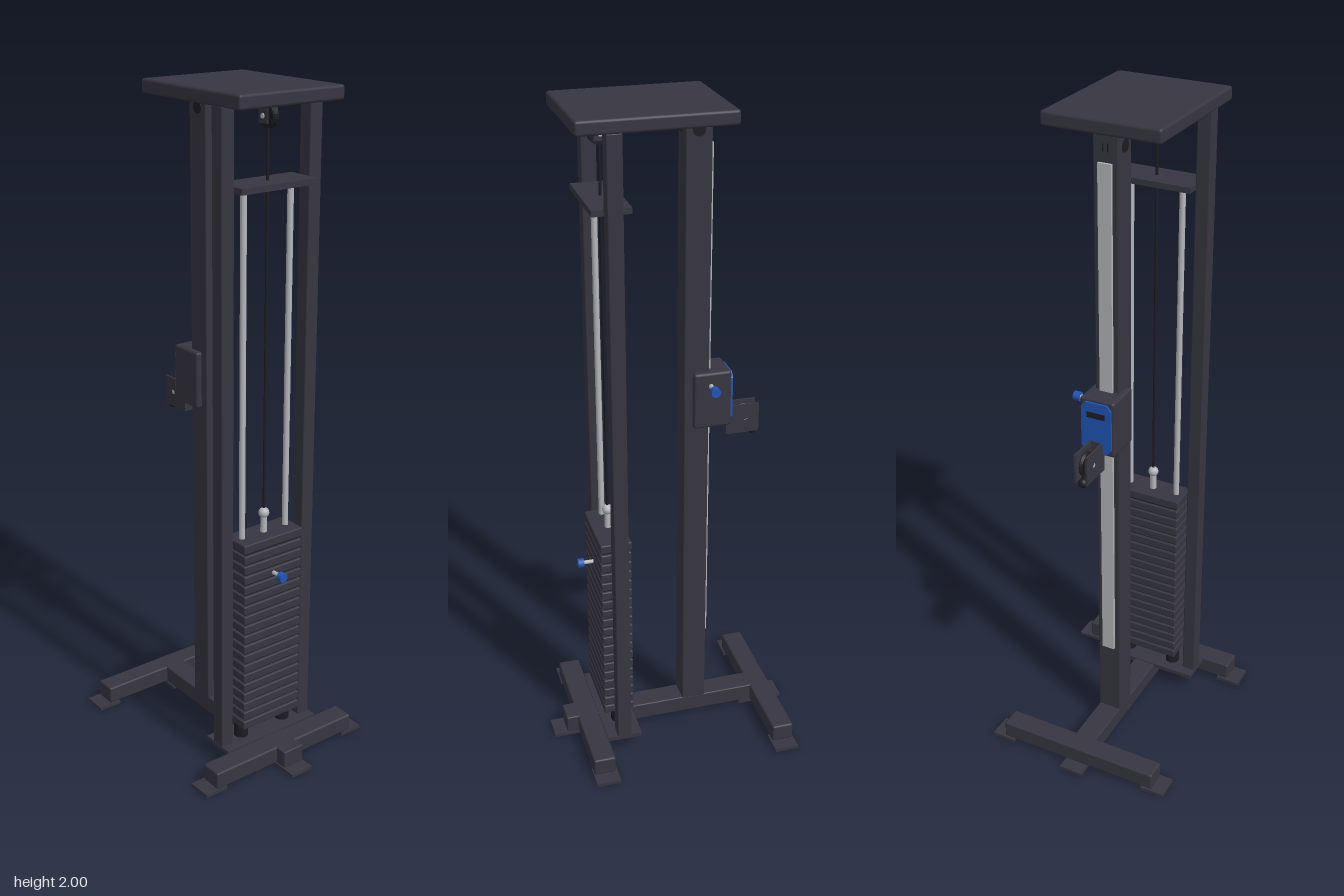
import * as THREE from 'three';
import { RoundedBoxGeometry } from 'three/addons/geometries/RoundedBoxGeometry.js';

const mat = (name, color) => {
  const m = new THREE.MeshStandardMaterial({ color });
  m.name = name;
  return m;
};

export function createModel() {
  const frame = mat('charcoal frame', 0x373641);
  const black = mat('black rubber', 0x1d1d22);
  const chrome = mat('chrome', 0xb4b6ba);
  const blue = mat('blue accent', 0x1f55b5);
  const model = new THREE.Group();
  model.name = 'cableMachine';

  const add = (name, geometry, material, x = 0, y = 0, z = 0) => {
    const mesh = new THREE.Mesh(geometry, material);
    mesh.name = name;
    mesh.position.set(x, y, z);
    model.add(mesh);
    return mesh;
  };
  // Box given by its limits on each axis, with an optional edge radius
  const block = (name, material, [x0, x1], [y0, y1], [z0, z1], r = 0) => {
    const s = [x1 - x0, y1 - y0, z1 - z0];
    const g = r ? new RoundedBoxGeometry(...s, 2, r) : new THREE.BoxGeometry(...s);
    return add(name, g, material, (x0 + x1) / 2, (y0 + y1) / 2, (z0 + z1) / 2);
  };
  // Cylinder along a chosen axis
  const rod = (name, material, r, length, axis, x, y, z) => {
    const g = new THREE.CylinderGeometry(r, r, length, 20);
    if (axis === 'x') g.rotateZ(Math.PI / 2);
    if (axis === 'z') g.rotateX(Math.PI / 2);
    return add(name, g, material, x, y, z);
  };
  // Grooved wheel on an axle along x
  const pulley = (name, r, y, z) => {
    const w = 0.009;
    const profile = [[0.004, -w], [r, -w], [r, -w * 0.7], [r * 0.84, 0], [r, w * 0.7], [r, w], [0.004, w]]
      .map(([a, b]) => new THREE.Vector2(a, b));
    const g = new THREE.LatheGeometry(profile, 28).toNonIndexed();
    g.computeVertexNormals();
    g.rotateZ(Math.PI / 2);
    add(name, g, black, 0, y, z);
    rod(name + 'Axle', chrome, 0.007, 0.042, 'x', 0, y, z);
  };

  // Base: spine, two cross beams and six foot plates
  block('baseSpine', frame, [-0.036, 0.036], [0.01, 0.065], [-0.34, 0.34], 0.004);
  block('rearCrossBeam', frame, [-0.26, 0.26], [0.01, 0.065], [-0.341, -0.274], 0.006);
  block('frontCrossBeam', frame, [-0.26, 0.26], [0.01, 0.065], [0.236, 0.304], 0.006);
  for (const s of [-1, 1]) {
    for (const z of [-0.308, 0.268]) {
      add('footPlate', new THREE.BoxGeometry(0.076, 0.01, 0.075), frame, s * 0.263, 0.005, z);
    }
    add('centreFootPlate', new THREE.BoxGeometry(0.076, 0.01, 0.145), frame, 0, 0.005, s * 0.308);
  }
  block('postBasePlate', frame, [-0.17, 0.17], [0.055, 0.068], [0.13, 0.238]);

  // Uprights, top cap and guide brace
  for (const s of [-1, 1]) {
    add('frontPost', new RoundedBoxGeometry(0.042, 1.897, 0.044, 2, 0.004), frame, s * 0.148, 1.0135, 0.184);
  }
  block('rearColumn', frame, [-0.037, 0.037], [0.062, 1.962], [-0.117, -0.042], 0.004);
  block('topCap', frame, [-0.174, 0.174], [1.96, 2], [-0.148, 0.287], 0.008);
  block('guideBrace', frame, [-0.128, 0.128], [1.738, 1.755], [0.129, 0.239]);
  block('slideRail', chrome, [-0.02, 0.02], [0.31, 1.88], [-0.125, -0.116]);

  // Weight stack with rods and rubber bumpers
  const plates = 18, bottom = 0.115, pitch = 0.0325;
  for (let i = 0; i < plates; i++) {
    const y = bottom + i * pitch;
    block('weightPlate', frame, [-0.106, 0.106], [y, y + 0.027], [0.138, 0.232], 0.004);
  }
  block('stackCore', black, [-0.098, 0.098], [0.12, 0.705], [0.146, 0.224]);
  block('topWeightPlate', frame, [-0.108, 0.108], [0.702, 0.73], [0.137, 0.233], 0.004);
  for (const s of [-1, 1]) {
    rod('guideRod', chrome, 0.009, 1.68, 'y', s * 0.08, 0.9, 0.184);
    rod('bumper', black, 0.022, 0.046, 'y', s * 0.08, 0.09, 0.184);
  }

  // Selector pin
  rod('selectorShaft', chrome, 0.006, 0.04, 'z', 0, 0.615, 0.245);
  rod('selectorKnob', blue, 0.014, 0.018, 'z', 0, 0.615, 0.271);

  // Lifting stem and cable
  rod('liftStem', chrome, 0.01, 0.06, 'y', 0, 0.757, 0.184);
  add('liftEye', new THREE.SphereGeometry(0.016, 16, 12), chrome, 0, 0.79, 0.184);
  rod('liftCable', black, 0.004, 1.12, 'y', 0, 1.36, 0.184);
  rod('topCable', black, 0.004, 0.25, 'z', 0, 1.954, 0.054);

  // Top pulleys hung from the cap
  pulley('frontPulley', 0.032, 1.924, 0.184);
  pulley('rearPulley', 0.04, 1.92, -0.079);
  for (const s of [-1, 1]) {
    block('pulleyHanger', frame, [s * 0.016 - 0.002, s * 0.016 + 0.002], [1.905, 1.962], [0.166, 0.202]);
    rod('columnAxleCap', black, 0.018, 0.004, 'x', s * 0.037, 1.92, -0.079);
  }

  // Sliding carriage wrapped round the column
  block('carriage', frame, [-0.054, 0.054], [1.046, 1.22], [-0.18, -0.067], 0.008);
  const face = new THREE.Shape();
  [[-0.047, 0.062], [-0.034, 0.078], [0.034, 0.078], [0.047, 0.062], [0.047, -0.062], [0.034, -0.078],
    [-0.034, -0.078], [-0.047, -0.062]].forEach(([x, y], i) => (i ? face.lineTo(x, y) : face.moveTo(x, y)));
  add('carriageFacePlate', new THREE.ExtrudeGeometry(face, { depth: 0.006, bevelEnabled: false }),
    blue, 0, 1.133, -0.186);
  block('carriageSlot', black, [-0.028, 0.028], [1.165, 1.182], [-0.188, -0.185]);
  rod('lockShaft', chrome, 0.007, 0.04, 'x', 0.068, 1.18, -0.117);
  rod('lockKnob', blue, 0.014, 0.02, 'x', 0.095, 1.18, -0.117);

  // Swivel bracket with its wheel and the cable end
  for (const s of [-1, 1]) {
    block('bracketCheek', frame, [s * 0.018 - 0.003, s * 0.018 + 0.003], [1.0, 1.09], [-0.278, -0.178]);
  }
  block('bracketBack', frame, [-0.021, 0.021], [1.0, 1.09], [-0.188, -0.176]);
  pulley('bracketPulley', 0.036, 1.046, -0.236);
  rod('handleCable', black, 0.004, 0.05, 'y', 0, 1.02, -0.264);
  add('cableStop', new THREE.SphereGeometry(0.014, 16, 12), black, 0, 0.998, -0.264);

  return model;
}
